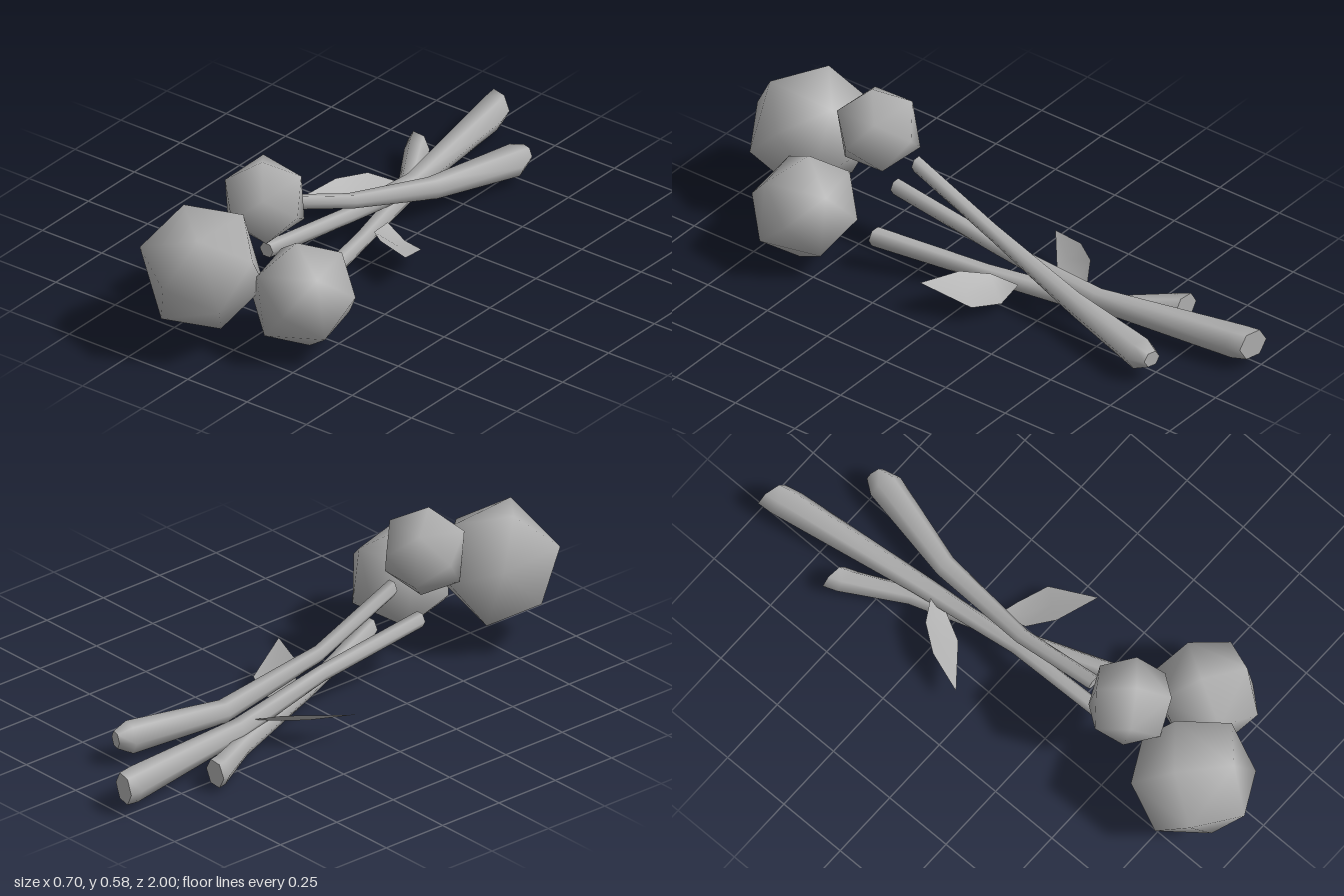
import * as THREE from 'three';
import { mergeVertices } from 'three/addons/utils/BufferGeometryUtils.js';
import { ConvexGeometry } from 'three/addons/geometries/ConvexGeometry.js';

const V = (p) => new THREE.Vector3(...p);

// Faceted ball: six axis points and eight cube corners, all on one sphere
function ballGeometry() {
  const pts = [];
  for (const s of [-1, 1]) {
    pts.push(V([s, 0, 0]), V([0, s, 0]), V([0, 0, s]));
    for (const t of [-1, 1]) for (const u of [-1, 1]) pts.push(V([s, t, u]).normalize());
  }
  const g = new ConvexGeometry(pts);
  g.deleteAttribute('normal');
  const merged = mergeVertices(g, 1e-4);
  merged.computeVertexNormals();
  return merged;
}

// Tapered stalk through [x, y, z, radius] stations running from back to front
function stalkGeometry(stations, sides = 6, slant = 0) {
  const pos = [], idx = [];
  stations.forEach(([x, y, z, r], i) => {
    for (let j = 0; j < sides; j++) {
      const a = (j / sides) * Math.PI * 2;
      const lean = i < 2 ? slant * r * Math.cos(a) : 0;
      pos.push(x + r * Math.cos(a), y + r * Math.sin(a), z + lean);
    }
  });
  for (let i = 0; i < stations.length - 1; i++) {
    for (let j = 0; j < sides; j++) {
      const k = (j + 1) % sides;
      const a = i * sides + j, b = i * sides + k, c = b + sides, d = a + sides;
      idx.push(a, b, c, a, c, d);
    }
  }
  // End caps with their own corners, so the cut stays crisp
  [0, stations.length - 1].forEach((i) => {
    const start = pos.length / 3;
    pos.push(...pos.slice(i * sides * 3, (i + 1) * sides * 3));
    for (let j = 1; j < sides - 1; j++) {
      if (i === 0) idx.push(start, start + j + 1, start + j);
      else idx.push(start, start + j, start + j + 1);
    }
  });
  const g = new THREE.BufferGeometry();
  g.setAttribute('position', new THREE.Float32BufferAttribute(pos, 3));
  g.setIndex(idx);
  g.computeVertexNormals();
  return g;
}

// Pointed leaf folded along its midrib: base, two side pairs, tip
function leafGeometry(base, pairs, tip, fold) {
  const pts = [base], idx = [];
  for (const [l, r] of pairs) {
    pts.push(l, l.map((v, i) => (v + r[i]) / 2 - (i === 1 ? fold : 0)), r);
  }
  pts.push(tip);
  idx.push(0, 2, 1, 0, 3, 2);
  for (const c of [0, 1]) idx.push(1 + c, 2 + c, 5 + c, 1 + c, 5 + c, 4 + c);
  idx.push(4, 5, 7, 5, 6, 7);
  const g = new THREE.BufferGeometry();
  g.setAttribute('position', new THREE.Float32BufferAttribute(pts.flat(), 3));
  g.setIndex(idx);
  g.computeVertexNormals();
  return g;
}

export function createModel() {
  const group = new THREE.Group();
  const grey = new THREE.MeshStandardMaterial({ color: 0xb0b0b0, side: THREE.DoubleSide });
  grey.name = 'plainGrey';
  const add = (name, geometry) => {
    const mesh = new THREE.Mesh(geometry, grey);
    mesh.name = name;
    group.add(mesh);
    return mesh;
  };

  // Flower heads: centre, radius, local x axis and local y axis
  const ball = ballGeometry();
  const heads = [
    ['largeHead', [-0.107, 0.305, 0.783], 0.222, [0.205, 0.085, -0.01], [-0.055, 0.212, -0.01]],
    ['mediumHead', [0.173, 0.213, 0.595], 0.19, [0.175, 0.025, -0.05], [0.015, 0.19, -0.01]],
    ['smallHead', [-0.08, 0.437, 0.478], 0.156, [0.152, -0.01, 0.02], [-0.02, 0.155, 0.02]],
  ];
  for (const [name, centre, radius, ax, ay] of heads) {
    const x = V(ax).normalize();
    const z = x.clone().cross(V(ay)).normalize();
    const y = z.clone().cross(x);
    const mesh = add(name, ball);
    mesh.quaternion.setFromRotationMatrix(new THREE.Matrix4().makeBasis(x, y, z));
    mesh.position.set(...centre);
    mesh.scale.setScalar(radius);
  }

  // Stalks, thick at the back and thin under the heads
  add('longStalk', stalkGeometry([
    [-0.225, 0.095, -0.985, 0.055], [-0.215, 0.09, -0.93, 0.06], [-0.135, 0.085, -0.4, 0.038],
    [-0.105, 0.15, 0, 0.028], [-0.11, 0.21, 0.43, 0.028],
  ], 6, 0.25));
  add('raisedStalk', stalkGeometry([
    [0.055, 0.1, -0.775, 0.03], [0.047, 0.095, -0.72, 0.056], [-0.038, 0.11, -0.38, 0.04],
    [-0.085, 0.215, 0, 0.028], [-0.088, 0.355, 0.325, 0.028],
  ], 6, 0.3));
  add('lowStalk', stalkGeometry([
    [-0.3, 0.066, -0.645, 0.05], [-0.28, 0.058, -0.6, 0.05], [-0.165, 0.04, -0.4, 0.037],
    [-0.045, 0.075, 0, 0.03], [0.075, 0.13, 0.375, 0.034],
  ], 6, 0.1));

  // Leaves
  add('rightLeaf', leafGeometry([-0.15, 0.11, -0.345],
    [[[-0.24, 0.14, -0.29], [-0.15, 0.085, -0.28]], [[-0.305, 0.135, -0.2], [-0.2, 0.075, -0.18]]],
    [-0.347, 0.108, -0.06], 0.01));
  add('leftLeaf', leafGeometry([-0.04, 0.085, -0.14],
    [[[-0.02, 0.1, -0.04], [0.04, 0.048, -0.13]], [[0.06, 0.125, 0.03], [0.145, 0.07, -0.085]]],
    [0.208, 0.135, 0.083], 0.01));

  return group;
}
